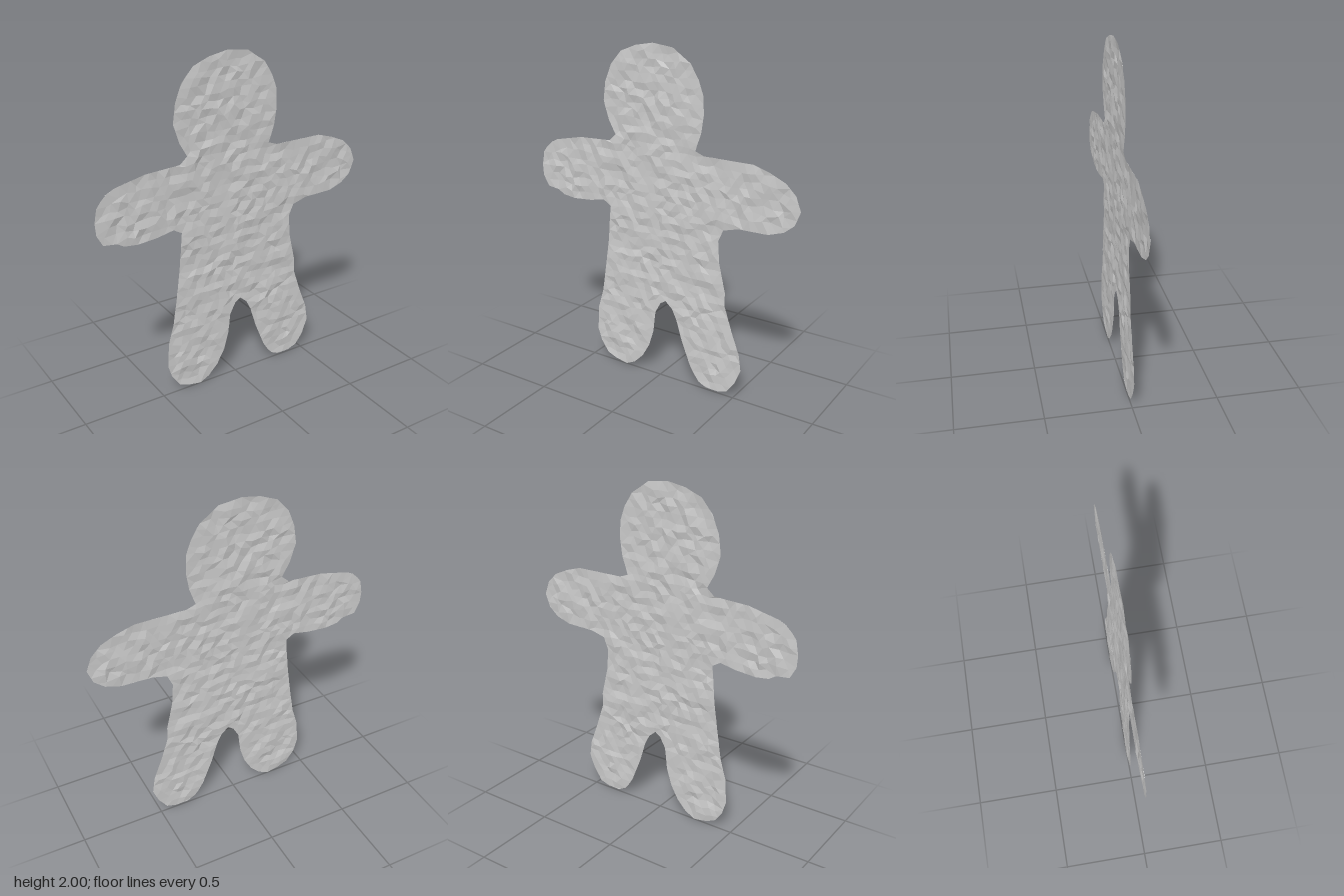
import * as THREE from 'three';

// Outline corners (x, y), clockwise from the top of the head
const rightSide = [
  -0.05, 2, 0.08, 1.985, 0.13, 1.95, 0.19, 1.91, 0.24, 1.83, 0.27, 1.75, 0.275, 1.64, 0.26, 1.54,
  0.225, 1.44, 0.28, 1.42, 0.58, 1.42, 0.68, 1.39, 0.77, 1.35, 0.83, 1.29, 0.86, 1.21, 0.83, 1.13,
  0.77, 1.08, 0.68, 1.05, 0.5, 1.045, 0.41, 1.02, 0.38, 0.95, 0.39, 0.82, 0.43, 0.65, 0.43, 0.57,
  0.48, 0.42, 0.53, 0.29, 0.545, 0.19, 0.51, 0.1, 0.46, 0.03, 0.4, 0.01, 0.32, 0.01, 0.26, 0.04,
  0.21, 0.12, 0.15, 0.27, 0.11, 0.4, 0.08, 0.46, 0.035, 0.5,
];
const leftSide = [
  0, 0.475, -0.035, 0.41, -0.05, 0.28, -0.08, 0.18, -0.13, 0.09, -0.19, 0.03, -0.25, 0, -0.33, 0.015,
  -0.39, 0.04, -0.44, 0.11, -0.465, 0.19, -0.455, 0.34, -0.42, 0.46, -0.395, 0.62, -0.37, 0.8,
  -0.35, 1.02, -0.4, 1.05, -0.5, 1.03, -0.62, 1.02, -0.7, 1.03, -0.74, 1.055, -0.82, 1.065,
  -0.855, 1.13, -0.86, 1.2, -0.845, 1.28, -0.8, 1.34, -0.74, 1.37, -0.56, 1.41, -0.35, 1.42,
  -0.305, 1.46, -0.35, 1.54, -0.385, 1.65, -0.37, 1.76, -0.33, 1.86, -0.26, 1.94, -0.16, 1.98,
];

function toPoints(list) {
  const points = [];
  for (let i = 0; i < list.length; i += 2) points.push(new THREE.Vector2(list[i], list[i + 1]));
  return points;
}

function makeRandom(seed) {
  return () => {
    seed = (seed * 16807) % 2147483647;
    return seed / 2147483647;
  };
}

function isInside(outline, x, y) {
  let inside = false;
  outline.forEach((a, i) => {
    const b = outline[(i + 1) % outline.length];
    if (a.y > y !== b.y > y && x < a.x + ((y - a.y) / (b.y - a.y)) * (b.x - a.x)) inside = !inside;
  });
  return inside;
}

function closestOnOutline(outline, p) {
  let best = null;
  let bestDistance = Infinity;
  outline.forEach((a, i) => {
    const edge = outline[(i + 1) % outline.length].clone().sub(a);
    const t = THREE.MathUtils.clamp((p.x - a.x) * edge.x + (p.y - a.y) * edge.y, 0, edge.lengthSq()) / edge.lengthSq();
    const q = a.clone().addScaledVector(edge, t);
    const d = Math.hypot(q.x - p.x, q.y - p.y);
    if (d < bestDistance) [best, bestDistance] = [q, d];
  });
  return best;
}

// Crumpled sheet: a jittered triangle grid trimmed and snapped to the outline
function crumpledSheet(outline) {
  const random = makeRandom(4711);
  const spread = (amount) => (random() * 2 - 1) * amount;
  const dx = 0.05, dy = 0.042, columns = 40, rows = 52;
  const vertices = [];
  for (let j = 0; j <= rows; j++) {
    for (let i = 0; i <= columns; i++) {
      const x = (i - columns / 2 + (j % 2) * 0.5) * dx + spread(0.013);
      vertices.push(new THREE.Vector3(x, (j - 1.5) * dy + spread(0.011), spread(0.0065)));
    }
  }

  const kept = [];
  const usedByKept = new Set();
  const usedByDropped = new Set();
  const addTriangle = (...t) => {
    const x = (vertices[t[0]].x + vertices[t[1]].x + vertices[t[2]].x) / 3;
    const y = (vertices[t[0]].y + vertices[t[1]].y + vertices[t[2]].y) / 3;
    const keep = isInside(outline, x, y);
    if (keep) kept.push(...t);
    t.forEach((v) => (keep ? usedByKept : usedByDropped).add(v));
  };
  for (let j = 0; j < rows; j++) {
    for (let i = 0; i < columns; i++) {
      const a = j * (columns + 1) + i, b = a + 1, c = a + columns + 1, d = c + 1;
      if (j % 2) {
        addTriangle(a, b, d);
        addTriangle(a, d, c);
      } else {
        addTriangle(a, b, c);
        addTriangle(b, d, c);
      }
    }
  }

  // The rim lies flat on the outline, with a vertex on each corner where possible
  const rim = [...usedByKept].filter((v) => usedByDropped.has(v)).map((v) => vertices[v]);
  rim.forEach((p) => {
    const q = closestOnOutline(outline, p);
    p.set(q.x, q.y, p.z * 0.2);
  });
  const taken = new Set();
  outline.forEach((corner) => {
    const distance = (p) => Math.hypot(p.x - corner.x, p.y - corner.y);
    const free = rim.filter((p) => !taken.has(p));
    const nearest = free.reduce((m, p) => (distance(p) < distance(m) ? p : m));
    if (distance(nearest) > 0.035) return;
    nearest.set(corner.x, corner.y, nearest.z);
    taken.add(nearest);
  });

  const indexed = new THREE.BufferGeometry().setFromPoints(vertices);
  indexed.setIndex(kept);
  const geometry = indexed.toNonIndexed();
  geometry.computeVertexNormals();
  return geometry;
}

export function createModel() {
  const group = new THREE.Group();
  group.name = 'gingerbreadFigure';
  const outline = [...toPoints(rightSide), ...toPoints(leftSide)];
  const material = new THREE.MeshStandardMaterial({
    color: 0xcccccc,
    flatShading: true,
    side: THREE.DoubleSide,
  });
  const body = new THREE.Mesh(crumpledSheet(outline), material);
  body.name = 'body';
  group.add(body);
  return group;
}
